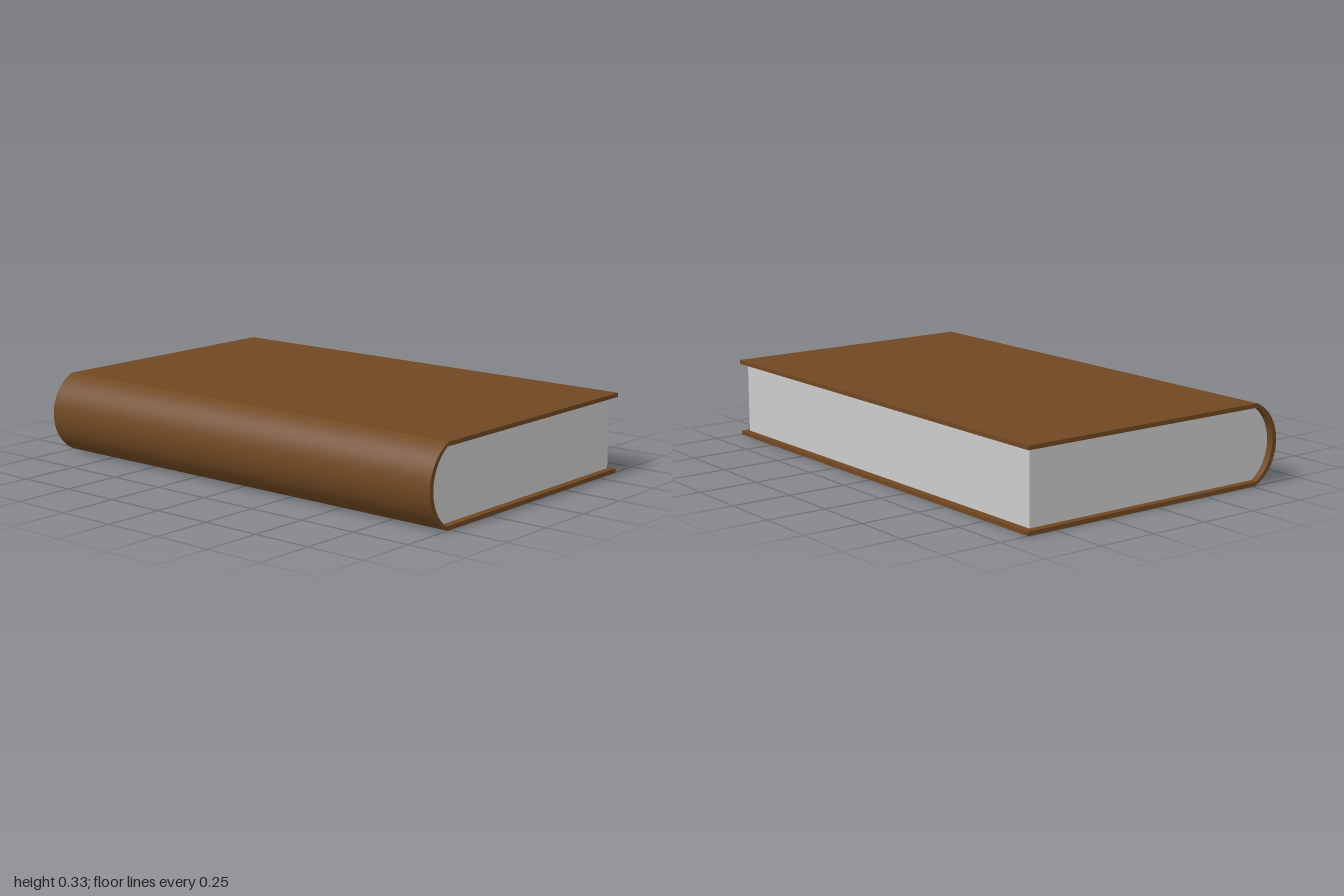
import * as THREE from 'three';
import { toCreasedNormals } from 'three/addons/utils/BufferGeometryUtils.js';

const H = 0.332, MID = H / 2, BOARD = 0.017, GAP = 0.002;

// Arc bulging towards -x, through (xEnd, MID +- half) and (xTip, MID)
function bulge(xEnd, half, xTip) {
  const sag = xEnd - xTip;
  const r = (half * half + sag * sag) / (2 * sag);
  const cx = xTip + r;
  const a = Math.atan2(half, xEnd - cx);
  return { cx, r, a };
}

// Extrudes a cross-section along z, centred on z = 0, smooth on the curve only
function slab(name, shape, depth, color) {
  const geo = new THREE.ExtrudeGeometry(shape, { depth, bevelEnabled: false, curveSegments: 32 });
  geo.translate(0, 0, -depth / 2);
  const mesh = new THREE.Mesh(toCreasedNormals(geo, 0.3), new THREE.MeshStandardMaterial({ color }));
  mesh.name = name;
  return mesh;
}

export function createModel() {
  const book = new THREE.Group();
  book.name = 'book';

  // Cover: two boards joined by the rounded spine, one folded strip
  const outer = bulge(-0.515, MID, -0.625);
  const inner = bulge(-0.522, MID - BOARD, -0.604);
  const cover = new THREE.Shape();
  cover.absarc(outer.cx, MID, outer.r, outer.a, 2 * Math.PI - outer.a, false);
  cover.lineTo(0.625, 0);
  cover.lineTo(0.625, BOARD);
  cover.absarc(inner.cx, MID, inner.r, 2 * Math.PI - inner.a, inner.a, true);
  cover.lineTo(0.625, H - BOARD);
  cover.lineTo(0.625, H);
  cover.closePath();
  book.add(slab('cover', cover, 2, 0x704822));

  // Page block: set back from the cover on three sides, rounded at the spine
  const back = bulge(-0.52, MID - BOARD - GAP, -0.6);
  const pages = new THREE.Shape();
  pages.absarc(back.cx, MID, back.r, back.a, 2 * Math.PI - back.a, false);
  pages.lineTo(0.6, BOARD + GAP);
  pages.lineTo(0.6, H - BOARD - GAP);
  pages.closePath();
  book.add(slab('pages', pages, 1.95, 0xcccccc));

  return book;
}
